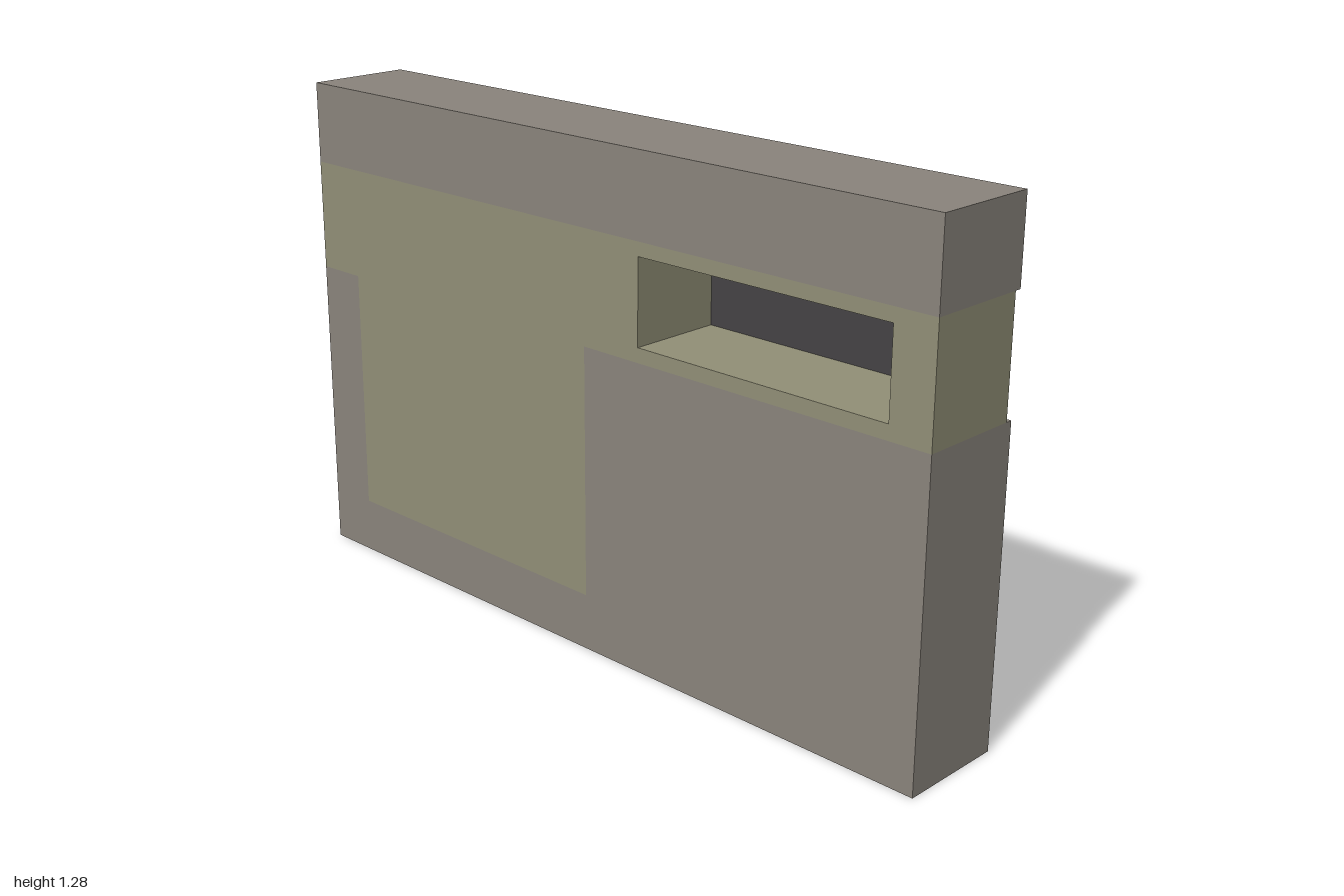
import * as THREE from 'three';

const FRONT = 0.14, BACK = -0.14, PANEL_BACK = -0.123;

const paint = (color) => new THREE.MeshStandardMaterial({ color });

function outline(points, Type = THREE.Shape) {
  return new Type(points.map(([x, y]) => new THREE.Vector2(x, y)));
}

export function createModel() {
  const model = new THREE.Group();
  const casing = paint(0x8a847c), olive = paint(0x918f77), pale = paint(0xb4b090);
  const red = paint(0xb01212), black = paint(0x1b1e1d), darkGrey = paint(0x454345);

  // Extrude a flat outline between two depths
  function slab(name, shape, z0, z1, material) {
    const geometry = new THREE.ExtrudeGeometry(shape, { depth: z1 - z0, bevelEnabled: false });
    const mesh = new THREE.Mesh(geometry.translate(0, 0, z0), material);
    mesh.name = name;
    model.add(mesh);
  }

  // Box given by its limits
  function block(name, x0, x1, y0, y1, z0, z1, material, parent = model) {
    const mesh = new THREE.Mesh(new THREE.BoxGeometry(x1 - x0, y1 - y0, z1 - z0), material);
    mesh.position.set((x0 + x1) / 2, (y0 + y1) / 2, (z0 + z1) / 2);
    mesh.name = name;
    parent.add(mesh);
  }

  // Casing: top bar and a lower body notched for the keypad
  block('topCasing', -1, 1, 1.075, 1.285, BACK, FRONT, casing);
  slab('lowerCasing', outline([
    [-1, 0], [1, 0], [1, 0.788], [0, 0.788], [0, 0.145],
    [-0.86, 0.145], [-0.86, 0.788], [-1, 0.788],
  ]), BACK, FRONT, casing);

  // Panel: display band joined to the keypad area, with a window opening
  const panel = outline([
    [-1, 0.788], [-0.86, 0.788], [-0.86, 0.145], [0, 0.145],
    [0, 0.788], [1, 0.788], [1, 1.075], [-1, 1.075],
  ]);
  panel.holes.push(outline([[0.176, 0.825], [0.176, 1.04], [0.89, 1.04], [0.89, 0.825]], THREE.Path));
  slab('controlPanel', panel, PANEL_BACK, FRONT, olive);

  // Display closing the window at the keypad side
  block('displayScreen', 0.176, 0.89, 0.825, 1.04, PANEL_BACK, -0.117, black);
  block('displayBacking', 0.176, 0.89, 0.825, 1.04, -0.117, -0.108, darkGrey);

  // Keypad: three columns by four rows
  const keypad = new THREE.Group();
  keypad.name = 'keypad';
  model.add(keypad);
  for (let row = 0; row < 4; row++) {
    for (let col = 0; col < 3; col++) {
      const x = -0.146 - col * 0.285, y = 0.961 - row * 0.215;
      block('key', x - 0.074, x + 0.074, y - 0.037, y + 0.037, BACK, PANEL_BACK, casing, keypad);
    }
  }

  // Small function buttons beside the display
  for (let i = 0; i < 3; i++) {
    const y = 1.02 - i * 0.0885;
    block(i ? 'functionButton' : 'powerButton', -0.003, 0.083, y - 0.017, y + 0.017,
      BACK, PANEL_BACK, i ? pale : red);
  }

  return model;
}
